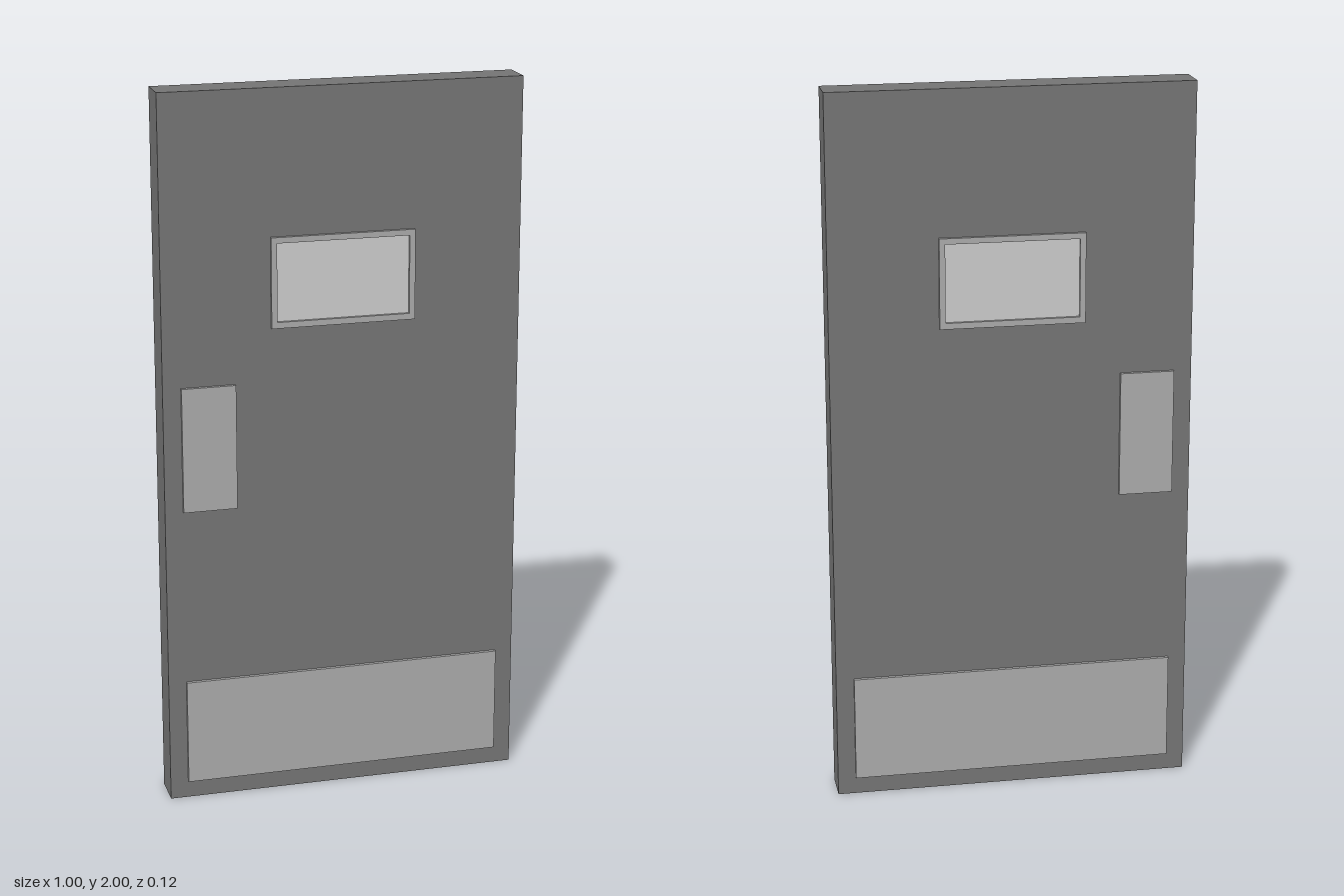
import * as THREE from 'three';

const doorMat = new THREE.MeshStandardMaterial({ color: 0x747474 });
const plateMat = new THREE.MeshStandardMaterial({ color: 0xaaaaaa });
const glassMat = new THREE.MeshStandardMaterial({ color: 0xcccccc });

const HALF = 0.05;   // half thickness of the door
const RAISE = 0.01;  // how far the fittings stand proud

// Box given by its x, y and z ranges
function slab(name, [x0, x1], [y0, y1], [z0, z1], mat) {
  const mesh = new THREE.Mesh(new THREE.BoxGeometry(x1 - x0, y1 - y0, z1 - z0), mat);
  mesh.position.set((x0 + x1) / 2, (y0 + y1) / 2, (z0 + z1) / 2);
  mesh.name = name;
  return mesh;
}

function rectangle(path, x0, x1, y0, y1) {
  return path.moveTo(x0, y0).lineTo(x1, y0).lineTo(x1, y1).lineTo(x0, y1).closePath();
}

// Raised rectangular rim around the window
function windowFrame(z0) {
  const shape = rectangle(new THREE.Shape(), -0.2, 0.2, 1.35, 1.6);
  shape.holes.push(rectangle(new THREE.Path(), -0.184, 0.184, 1.367, 1.584));
  const geo = new THREE.ExtrudeGeometry(shape, { depth: RAISE, bevelEnabled: false });
  const mesh = new THREE.Mesh(geo, plateMat);
  mesh.position.z = z0;
  mesh.name = 'windowFrame';
  return mesh;
}

export function createModel() {
  const door = new THREE.Group();
  door.name = 'door';
  door.add(slab('doorPanel', [-0.5, 0.5], [0, 2], [-HALF, HALF], doorMat));

  // The same fittings sit at the same x on both faces
  for (const [side, s] of [['front', 1], ['back', -1]]) {
    const fittings = new THREE.Group();
    fittings.name = side + 'Fittings';
    const depth = (d) => (s > 0 ? [HALF, HALF + d] : [-HALF - d, -HALF]);
    const raised = depth(RAISE);
    fittings.add(
      slab('kickPlate', [-0.45, 0.45], [0.05, 0.35], raised, plateMat),
      slab('pushPlate', [-0.45, -0.3], [0.85, 1.2], raised, plateMat),
      windowFrame(raised[0]),
      slab('windowPane', [-0.184, 0.184], [1.367, 1.584], depth(0.001), glassMat)
    );
    door.add(fittings);
  }
  return door;
}
